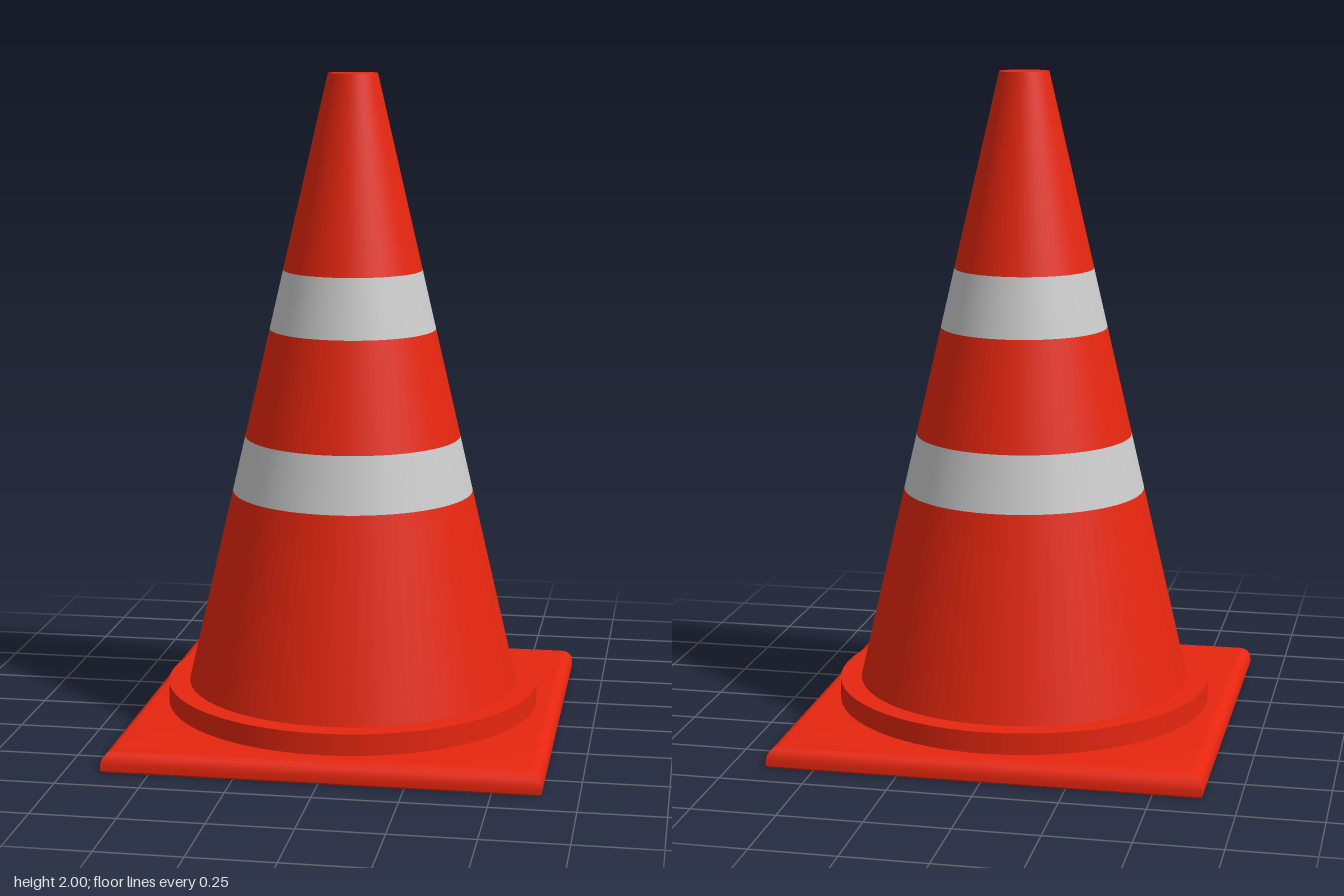
import * as THREE from 'three';
import { toCreasedNormals } from 'three/addons/utils/BufferGeometryUtils.js';

const SEGMENTS = 64;
const CONE_BOTTOM = 0.13, CONE_TOP = 2;

// Cone radius at a given height
const radiusAt = (y) => THREE.MathUtils.mapLinear(y, CONE_BOTTOM, CONE_TOP, 0.508, 0.075);

export function createModel() {
  const group = new THREE.Group();
  const red = new THREE.MeshStandardMaterial({ color: 0xe6260f });
  const grey = new THREE.MeshStandardMaterial({ color: 0xcccccc });

  function add(name, geometry, material, y = 0) {
    const mesh = new THREE.Mesh(geometry, material);
    mesh.name = name;
    mesh.position.y = y;
    group.add(mesh);
  }

  // Square foot: four-sided lathe with a rounded upper edge
  const half = 0.643, height = 0.065, round = 0.045;
  const profile = [[0, 0], [half - 0.006, 0], [half, 0.006]];
  for (let i = 0; i <= 6; i++) {
    const a = (i / 6) * Math.PI / 2;
    profile.push([half - round + round * Math.cos(a), height - round + round * Math.sin(a)]);
  }
  profile.push([0, height]);
  const points = profile.map(([r, y]) => new THREE.Vector2(r * Math.SQRT2, y));
  add('basePlate', toCreasedNormals(new THREE.LatheGeometry(points, 4, Math.PI / 4), 0.6), red);

  // Round collar between foot and cone
  add('collar', new THREE.CylinderGeometry(0.573, 0.573, 0.07, SEGMENTS), red, 0.095);

  // Cone body in alternating coloured sections
  const sections = [
    ['lowerCone', CONE_BOTTOM, 0.73, red],
    ['lowerStripe', 0.73, 0.9, grey],
    ['middleCone', 0.9, 1.23, red],
    ['upperStripe', 1.23, 1.41, grey],
    ['upperCone', 1.41, CONE_TOP, red],
  ];
  for (const [name, y0, y1, material] of sections) {
    const open = y1 < CONE_TOP;
    add(name, new THREE.CylinderGeometry(radiusAt(y1), radiusAt(y0), y1 - y0, SEGMENTS, 1, open), material, (y0 + y1) / 2);
  }

  return group;
}
